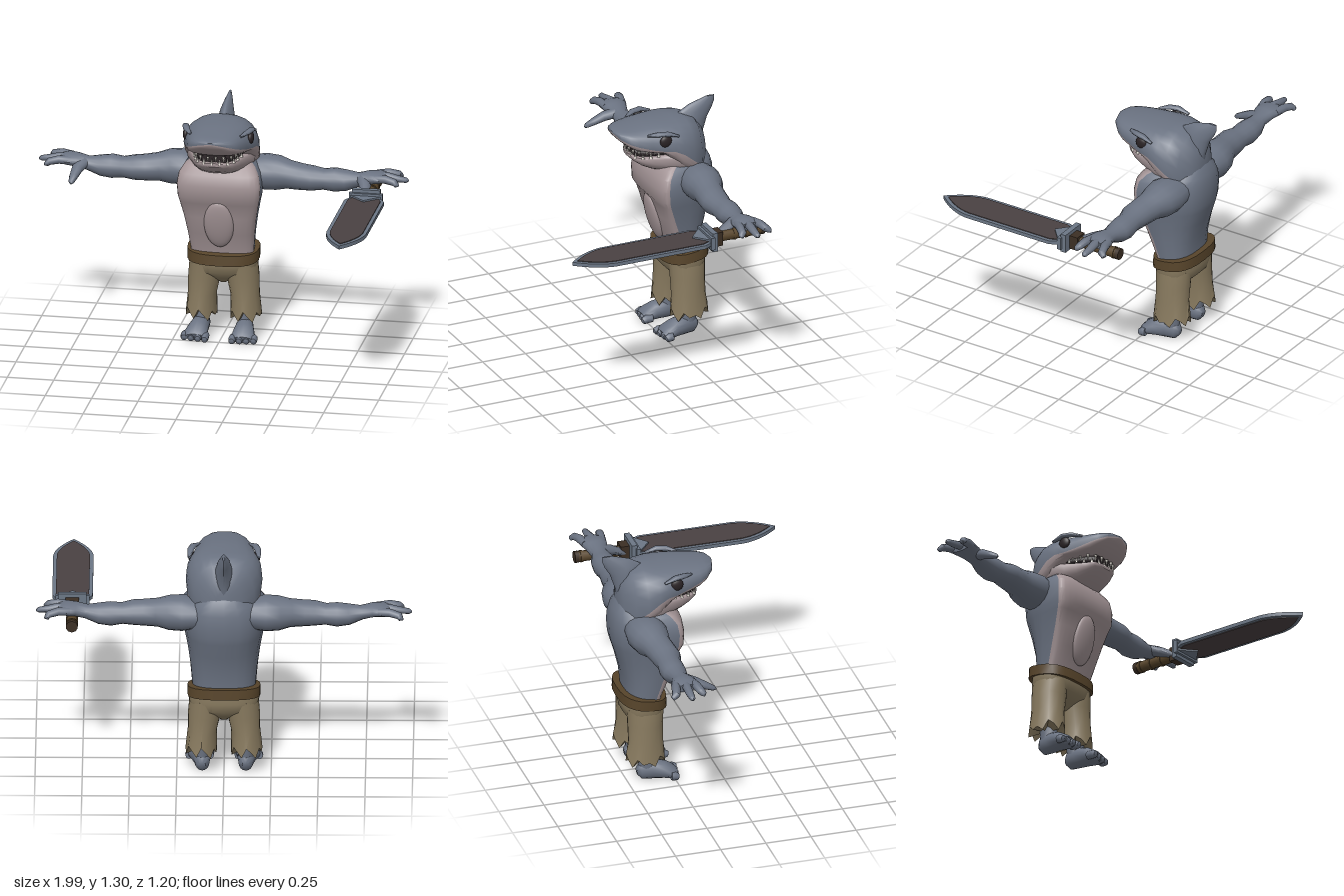
import * as THREE from 'three';
import { toCreasedNormals } from 'three/addons/utils/BufferGeometryUtils.js';

const mat = (name, color) => Object.assign(new THREE.MeshStandardMaterial({ color }), { name });
const skin = mat('slateSkin', 0x6b7382);
const belly = mat('paleBelly', 0xa39496);
const cloth = mat('khakiCloth', 0x887a5f);
const leather = mat('brownLeather', 0x58452b);
const grip = mat('darkGrip', 0x3c2f24);
const steel = mat('blueSteel', 0x6c7786);
const blade = mat('darkBlade', 0x4a4142);
const black = mat('eyeBlack', 0x2b2426);
const ivory = mat('toothIvory', 0xe6e1d8);

const V = (x, y, z) => new THREE.Vector3(x, y, z);
const N = 24;

// Closed skin over rings; the first half of each ring is group 0, the rest group 1
function loft(rings, crease = 0.7) {
  const n = rings[0].length, pos = [], halves = [[], []];
  rings.forEach(r => r.forEach(p => pos.push(p.x, p.y, p.z)));
  const caps = [rings[0], rings[rings.length - 1]].map(r => {
    const c = r.reduce((a, p) => a.add(p), V(0, 0, 0)).divideScalar(n);
    return pos.push(c.x, c.y, c.z) / 3 - 1;
  });
  const last = (rings.length - 1) * n;
  for (let i = 0; i < n; i++) {
    const j = (i + 1) % n, out = halves[i < n / 2 ? 0 : 1];
    for (let k = 0; k < last; k += n) out.push(k + i, k + j, k + n + i, k + j, k + n + j, k + n + i);
    out.push(caps[0], j, i, caps[1], last + i, last + j);
  }
  // Turn the faces outward
  let volume = 0;
  const at = i => V(pos[3 * i], pos[3 * i + 1], pos[3 * i + 2]);
  const o = at(caps[0]);
  const all = halves.flat();
  for (let i = 0; i < all.length; i += 3) {
    const [a, b, c] = [0, 1, 2].map(k => at(all[i + k]).sub(o));
    volume += a.dot(b.cross(c));
  }
  if (volume < 0) for (let i = 0; i < all.length; i += 3) [all[i], all[i + 1]] = [all[i + 1], all[i]];
  const g = new THREE.BufferGeometry();
  g.setAttribute('position', new THREE.Float32BufferAttribute(pos, 3));
  g.setIndex(all);
  g.addGroup(0, halves[0].length, 0);
  g.addGroup(halves[0].length, halves[1].length, 1);
  return toCreasedNormals(g, crease);
}

// Sections are [station, high, middle, low, halfWidth]; place maps (across, along, station) to space
function body(sections, place, p = 0.75) {
  const pw = v => Math.sign(v) * Math.pow(Math.abs(v), p);
  return loft(sections.map(([t, hi, mid, lo, w]) => Array.from({ length: N }, (_, i) => {
    const a = 2 * Math.PI * i / N, s = i % (N / 2) ? pw(Math.sin(a)) : 0;
    return place(w * pw(Math.cos(a)), mid + s * (s > 0 ? hi - mid : mid - lo), t);
  })));
}

// Oval tube through points [x, y, z, sideRadius, upRadius]
function limb(pts, up = V(0, 1, 0), n = 16, edit = null) {
  const c = pts.map(p => V(p[0], p[1], p[2]));
  const rings = c.map((p, k) => {
    const dir = c[Math.min(k + 1, c.length - 1)].clone().sub(c[Math.max(k - 1, 0)]).normalize();
    const side = dir.clone().cross(up).normalize(), u = side.clone().cross(dir);
    return Array.from({ length: n }, (_, i) => {
      const a = 2 * Math.PI * i / n;
      return p.clone().addScaledVector(side, Math.cos(a) * pts[k][3]).addScaledVector(u, Math.sin(a) * pts[k][4]);
    });
  });
  if (edit) edit(rings);
  return loft(rings, 0.8);
}

// Flat plate from an outline in x and z, centred on height y
function plate(points, y, thick) {
  const g = new THREE.ExtrudeGeometry(new THREE.Shape(points), { depth: thick, bevelEnabled: false });
  return g.rotateX(Math.PI / 2).translate(0, y + thick / 2, 0);
}

export function createModel() {
  const root = new THREE.Group();
  root.name = 'sharkWarrior';
  const add = (name, geo, material, parent = root) => {
    const m = new THREE.Mesh(geo, Array.isArray(material) || !geo.groups.length ? material : geo.groups.map(() => material));
    m.name = name;
    parent.add(m);
    return m;
  };
  const alongY = (u, v, t) => V(u, t, v), alongZ = (u, v, t) => V(u, v, t);

  // Torso: pale front, slate back
  add('torso', body([
    [.44, -.31, -.36, -.49, .165], [.5, -.305, -.35, -.49, .17], [.6, -.262, -.32, -.5, .18],
    [.7, -.235, -.285, -.525, .195], [.785, -.215, -.255, -.552, .212], [.82, -.19, -.245, -.56, .22],
    [.89, -.19, -.24, -.565, .225], [.95, -.2, -.25, -.56, .215], [.99, -.23, -.28, -.55, .19],
    [1.03, -.3, -.34, -.53, .14], [1.06, -.36, -.4, -.51, .09],
  ], alongY), [belly, skin]);
  add('bellyBulge', new THREE.SphereGeometry(1, 24, 16).scale(.08, .14, .03).rotateX(.25).translate(0, .665, -.247), belly);

  // Head: slate above the cheek line, pale beneath
  add('head', body([
    [-.002, 1.205, 1.195, 1.188, .02], [-.02, 1.213, 1.18, 1.165, .085], [-.06, 1.219, 1.16, 1.13, .125],
    [-.1, 1.223, 1.145, 1.105, .145], [-.17, 1.232, 1.125, 1.09, .165], [-.24, 1.235, 1.11, 1.085, .185],
    [-.29, 1.235, 1.105, 1.03, .197], [-.34, 1.235, 1.08, .97, .203], [-.4, 1.235, 1.03, .94, .195],
    [-.46, 1.215, .98, .93, .165], [-.51, 1.15, .94, .92, .1], [-.525, 1.08, .93, .92, .05],
  ], alongZ), [skin, belly]);
  add('jaw', body([
    [-.095, 1.06, 1.055, 1.04, .05], [-.11, 1.065, 1.055, 1.025, .085], [-.15, 1.065, 1.05, .995, .11],
    [-.2, 1.07, 1.05, .97, .13], [-.26, 1.08, 1.05, .955, .155], [-.32, 1.09, 1.05, .945, .185],
    [-.4, 1.05, 1.02, .94, .18], [-.45, 1, .97, .93, .12],
  ], alongZ), belly);
  add('mouth', body([
    [-.108, 1.11, 1.08, 1.05, .068], [-.15, 1.11, 1.08, 1.05, .1], [-.2, 1.11, 1.08, 1.05, .12],
    [-.28, 1.1, 1.08, 1.06, .145],
  ], alongZ), black);
  const gum = new THREE.CatmullRomCurve3([[-.135, 1.09, -.25], [-.113, 1.08, -.17], [-.083, 1.077, -.115],
    [0, 1.075, -.1], [.083, 1.077, -.115], [.113, 1.08, -.17], [.135, 1.09, -.25]].map(p => V(...p)));
  for (let i = 0; i < 22; i++) {
    const p = gum.getPointAt((i + .5) / 22), down = i % 2;
    const g = new THREE.ConeGeometry(.009, .036, 6);
    if (down) g.rotateX(Math.PI);
    add('tooth', g.translate(p.x, p.y + (down ? .006 : -.006), p.z), ivory);
  }
  add('dorsalFin', body([
    [1, -.46, -.49, -.515, .03], [1.1, -.43, -.48, -.53, .045], [1.19, -.4, -.47, -.56, .045],
    [1.235, -.39, -.48, -.588, .033], [1.27, -.45, -.53, -.602, .02], [1.3, -.55, -.575, -.602, .006],
  ], alongY, 1.2), skin);

  for (const s of [1, -1]) {
    const side = new THREE.Group();
    side.name = s > 0 ? 'leftSide' : 'rightSide';
    root.add(side);
    const part = (name, pts, material, up, n, edit) =>
      add(name, limb(pts.map(([x, ...r]) => [s * x, ...r]), up, n, edit), material, side);

    // Eyes and brows
    add('eye', new THREE.SphereGeometry(.034, 20, 14).scale(.5, 1, 1).translate(s * .174, 1.168, -.24), black, side);
    part('brow', [[.135, 1.2, -.15, .008, .006], [.165, 1.21, -.2, .018, .012],
      [.178, 1.21, -.25, .018, .013], [.185, 1.19, -.31, .008, .006]], skin);

    // Arm with swelling shoulder, biceps and forearm
    part('arm', [[.13, .92, -.42, .1, .08], [.22, .92, -.42, .112, .095], [.29, .918, -.415, .1, .092],
      [.35, .915, -.405, .08, .076], [.42, .91, -.395, .078, .07], [.48, .908, -.39, .077, .066],
      [.54, .905, -.395, .064, .056], [.6, .904, -.4, .068, .064], [.66, .905, -.398, .064, .056],
      [.73, .915, -.395, .045, .037], [.79, .93, -.395, .062, .035], [.84, .935, -.4, .075, .031],
      [.875, .932, -.4, .06, .022]], skin);
    for (const [x, y, z, z0] of [[.95, .915, -.49, -.445], [.995, .92, -.4, -.4], [.955, .915, -.325, -.355]]) {
      part('finger', [[.82, .935, z0, .024, .022], [.88, .94, (z0 * 2 + z) / 3, .024, .022],
        [.93, .93, (z0 + 2 * z) / 3, .022, .019], [x - .012, y + .004, z, .016, .014],
        [x, y, z, .005, .005]], skin, undefined, 10);
    }
    part('thumb', [[.75, .925, -.38, .035, .028], [.775, .905, -.32, .032, .026], [.785, .88, -.265, .024, .02],
      [.79, .862, -.225, .016, .014], [.79, .855, -.212, .005, .005]], skin, undefined, 10);

    // Shin, foot and toes
    part('shin', [[.115, .3, -.4, .05, .055], [.115, .17, -.395, .042, .05], [.115, .11, -.39, .04, .05],
      [.117, .05, -.385, .04, .05]], skin, V(0, 0, 1));
    part('foot', [[.115, .05, -.446, .018, .02], [.115, .053, -.425, .038, .048], [.118, .058, -.37, .046, .056],
      [.124, .05, -.31, .056, .049], [.128, .035, -.26, .066, .034], [.128, .028, -.237, .055, .02]], skin);
    for (let i = 0; i < 4; i++) {
      const x = .073 + i * .038, z = -.214 - i * .006;
      part('toe', [[x, .03, -.275, .018, .022], [x, .028, z - .025, .02, .024],
        [x, .022, z - .006, .016, .018], [x, .02, z, .005, .006]], skin, undefined, 10);
    }

    // Trouser leg with torn hem
    const tears = [0, -.025, .03, .01, -.02, .035, .005, -.03, .02, -.01];
    part('trouserLeg', [[.098, .42, -.395, .085, .1], [.105, .33, -.397, .086, .095],
      [.115, .24, -.397, .077, .094], [.12, .13, -.4, .084, .106]], cloth, V(0, 0, 1), 20,
    rings => rings[3].forEach((p, i) => { p.y += tears[i % 10]; }));
  }

  // Trouser seat and tilted belt
  add('trouserSeat', body([
    [.3, -.37, -.395, -.42, .02], [.335, -.33, -.395, -.46, .07], [.37, -.295, -.395, -.495, .17],
    [.42, -.285, -.395, -.505, .187], [.47, -.285, -.395, -.5, .185],
  ], alongY), cloth);
  add('belt', body([
    [.44, -.285, -.398, -.51, .18], [.441, -.266, -.398, -.528, .193], [.498, -.27, -.398, -.526, .193],
    [.499, -.29, -.398, -.51, .175],
  ], (u, v, t) => V(u, t + (-.4 - v) * .14, v)), leather);

  // Broad sword lying under the left hand
  const sword = new THREE.Group();
  sword.name = 'sword';
  sword.position.set(.805, .88, 0);
  root.add(sword);
  const outline = (w, base, turn, tip) => {
    const half = new THREE.QuadraticBezierCurve(new THREE.Vector2(w, turn),
      new THREE.Vector2(w * .9, turn + (tip - turn) * .5), new THREE.Vector2(0, tip)).getPoints(8);
    const right = [new THREE.Vector2(w * .8, base), new THREE.Vector2(w, base + .04), ...half];
    return [...right, ...right.slice(0, -1).reverse().map(p => new THREE.Vector2(-p.x, p.y))];
  };
  add('bladeEdge', plate(outline(.107, -.17, .39, .6), 0, .02), steel, sword);
  add('bladeFace', plate(outline(.088, -.165, .385, .57), 0, .028), blade, sword);
  add('bladeCollar', plate([[-.085, -.175], [.085, -.175], [0, -.1]].map(p => new THREE.Vector2(...p)), 0, .046), steel, sword);
  const box = (name, w, h, d, y, z, m) => add(name, new THREE.BoxGeometry(w, h, d).translate(0, y, z), m, sword);
  box('guardFront', .18, .07, .022, 0, -.182, steel);
  box('guardBack', .15, .105, .03, 0, -.2, steel);
  box('gripCollar', .07, .078, .048, -.006, -.24, grip);
  const rod = (name, r, d, z, m) => add(name,
    new THREE.CylinderGeometry(r, r, d, 10).rotateX(Math.PI / 2).translate(0, -.005, z), m, sword);
  rod('handle', .029, .23, -.38, leather);
  for (const z of [-.34, -.41, -.475]) rod('handleBand', .033, .014, z, leather);
  rod('pommel', .032, .022, -.502, grip);

  return root;
}
